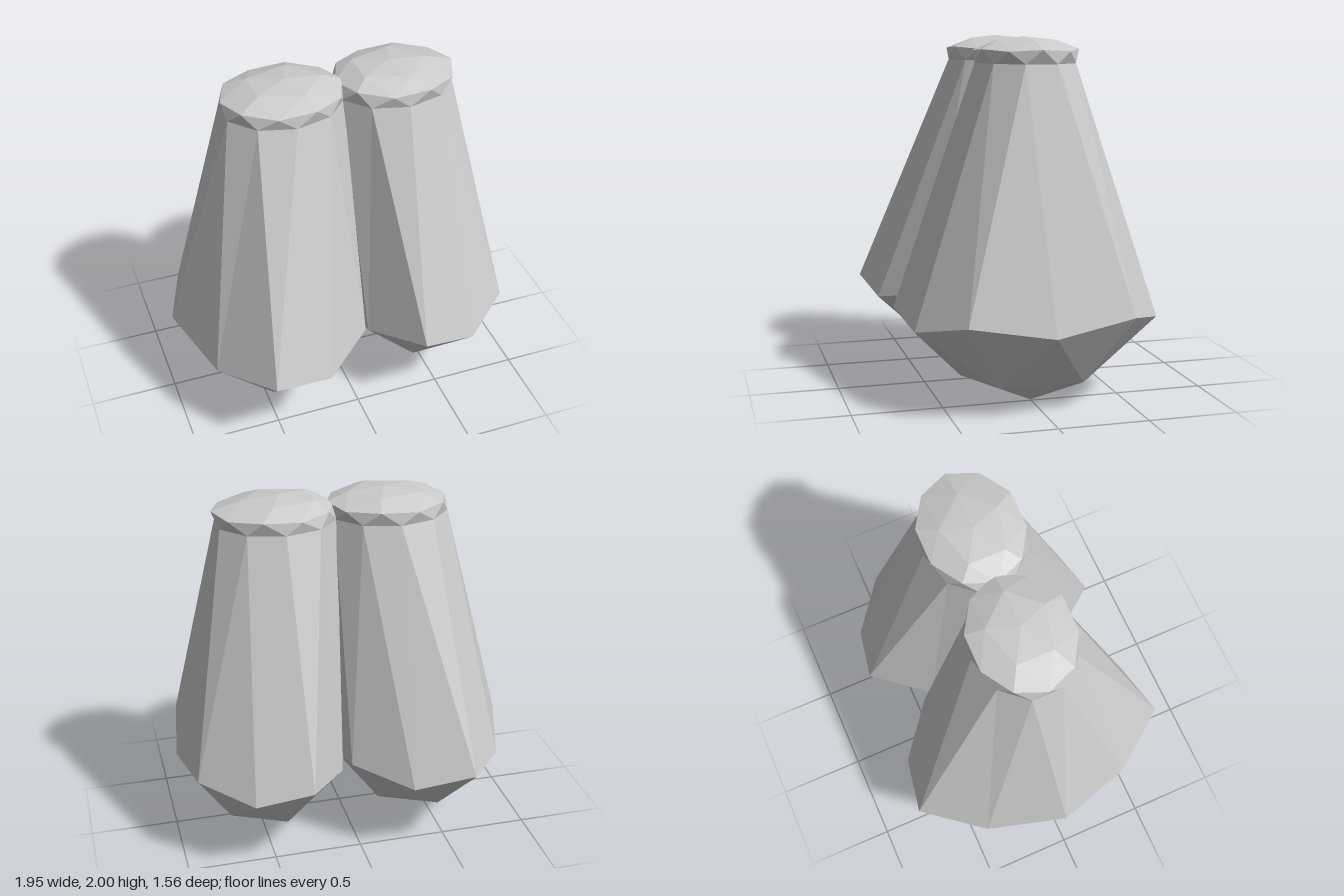
import * as THREE from 'three';

const DEG = Math.PI / 180;

// Ring of points around (cx, 0); a second height and radius scale applies to every other point.
function ring(n, cx, rx, rz, y, start, yOdd = y, odd = 1) {
  return Array.from({ length: n }, (_, i) => {
    const a = (start + i * 360 / n) * DEG;
    const s = i % 2 ? odd : 1;
    return new THREE.Vector3(cx + rx * s * Math.cos(a), i % 2 ? yOdd : y, rz * s * Math.sin(a));
  });
}

// Flat-shaded geometry from a list of triangles, turned over when built upside down.
function facets(tris, flip) {
  const points = tris.flatMap(([a, b, c]) => (flip ? [a, c, b] : [a, b, c]));
  const geometry = new THREE.BufferGeometry().setFromPoints(points);
  geometry.computeVertexNormals();
  return geometry;
}

// Faceted dome: a pole, five inner points and ten rim points.
function dome(pole, five, rim) {
  const tris = [];
  for (let i = 0; i < 5; i++) {
    const p = five[i], q = five[(i + 1) % 5];
    const r = k => rim[(2 * i + k + 10) % 10];
    tris.push([pole, q, p], [p, r(0), r(-1)], [p, r(1), r(0)], [p, q, r(1)]);
  }
  return tris;
}

// Zigzag band; each upper point sits half a step after its lower one.
function band(lower, upper) {
  const tris = [];
  lower.forEach((p, i) => {
    const j = (i + 1) % lower.length;
    tris.push([p, upper[i], lower[j]], [lower[j], upper[i], upper[j]]);
  });
  return tris;
}

function makePod(name, o) {
  const pod = new THREE.Group();
  pod.name = name;
  const material = new THREE.MeshStandardMaterial({ color: 0xcccccc, flatShading: true });
  const add = (part, tris, flip) => {
    const mesh = new THREE.Mesh(facets(tris, flip), material);
    mesh.name = part;
    pod.add(mesh);
  };

  // Rings from the bottom up
  const foot = new THREE.Vector3(o.x, 0.005, 0);
  const footFive = ring(5, o.x, 0.29 * o.s, 0.425 * o.s, 0.15, 36);
  const belly = ring(10, o.x, 0.564 * o.s, 0.82 * o.s, 0.54, 36, 0.47, 0.925);
  const neck = ring(10, o.neckX, 0.34, 0.28, 1.86, 54);
  const lip = ring(10, o.lipX, 0.34, 0.284, 1.935, 72, 1.925);
  const crown = ring(5, o.topX, 0.215, 0.175, 1.98, 72);
  const top = new THREE.Vector3(o.topX, 2, 0);

  add('roundedBase', dome(foot, footFive, belly), true);
  add('taperedBody', band(belly, neck));
  add('capRim', band(neck, lip));
  add('capTop', dome(top, crown, lip));
  return pod;
}

export function createModel() {
  const model = new THREE.Group();
  model.name = 'twinPods';
  model.add(
    makePod('rightPod', { x: -0.41, s: 1, neckX: -0.275, lipX: -0.27, topX: -0.26 }),
    makePod('leftPod', { x: 0.485, s: 0.94, neckX: 0.355, lipX: 0.37, topX: 0.335 })
  );
  return model;
}
